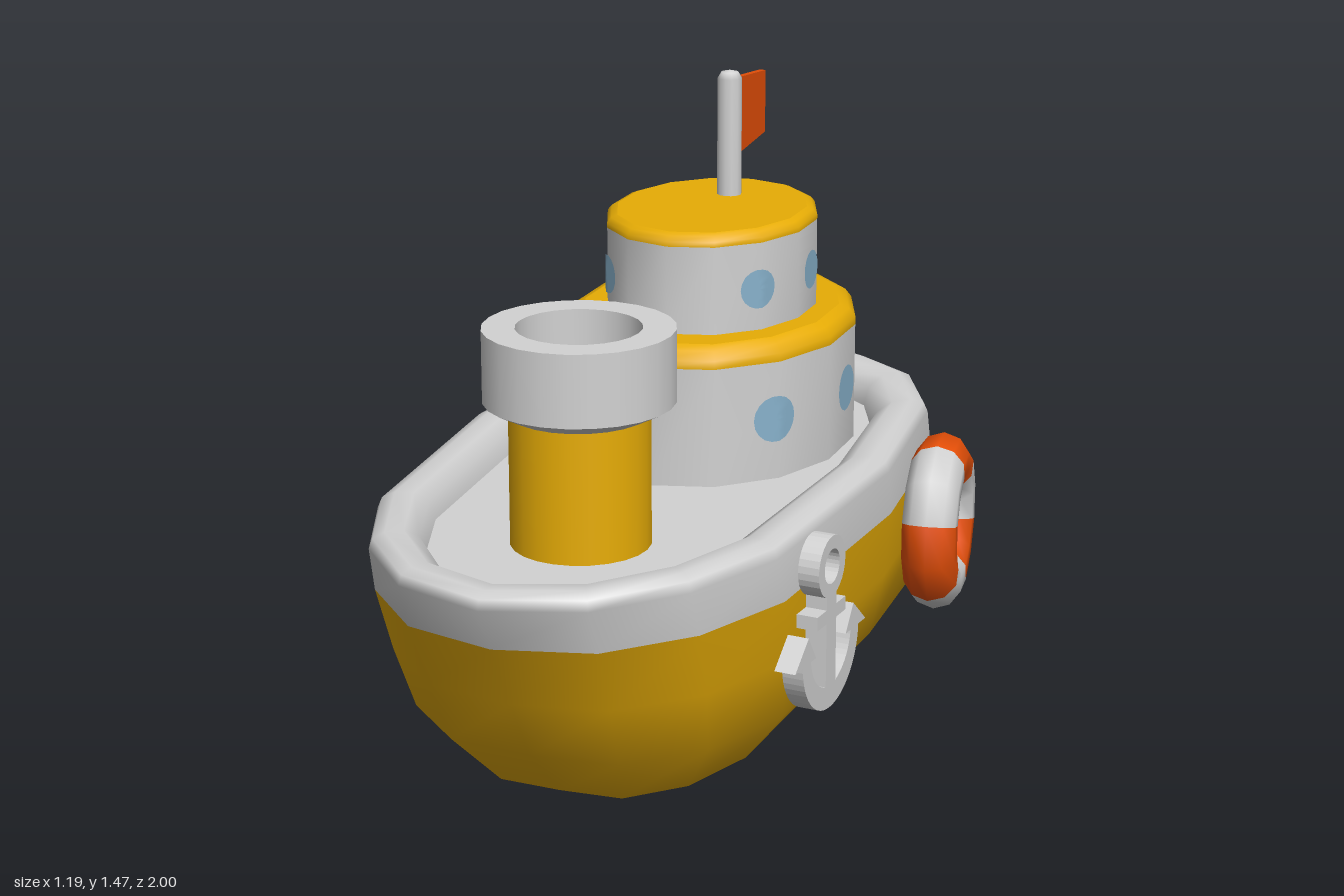
import * as THREE from 'three';

const mat = (name, color) => {
  const m = new THREE.MeshStandardMaterial({ color });
  m.name = name;
  return m;
};

// Lofts a closed unit outline through rings [y, halfWidth, zFront, zBack, fullness], bottom to top
function loft(outline, rings) {
  const n = outline.length, pos = [], idx = [];
  for (const [y, w, zf, zb, full = 0] of rings)
    for (const [u, v] of outline) {
      const k = 1 + full * Math.abs(u * v); // swells the corners of the outline
      pos.push(u * k * w, y, (zf + zb) / 2 + v * k * (zf - zb) / 2);
    }
  for (let j = 0; j < rings.length - 1; j++)
    for (let i = 0; i < n; i++) {
      const a = j * n + i, b = j * n + (i + 1) % n;
      idx.push(a, a + n, b, b, a + n, b + n);
    }
  const g = new THREE.BufferGeometry();
  g.setAttribute('position', new THREE.Float32BufferAttribute(pos, 3));
  g.setIndex(idx);
  g.computeVertexNormals();
  return g;
}

export function createModel() {
  const yellow = mat('yellow paint', 0xeeb206);
  const white = mat('off-white paint', 0xd2d2d2);
  const orange = mat('orange', 0xe85008);
  const blue = mat('window blue', 0x88b2cc);

  const model = new THREE.Group();
  const boat = new THREE.Group();
  boat.name = 'boat';
  boat.position.x = -0.063;
  model.add(boat);
  const add = (name, geo, material, parent = boat) => {
    const m = new THREE.Mesh(geo, material);
    m.name = name;
    parent.add(m);
    return m;
  };

  // Hull outline, stern to bow, mirrored to the other side
  const half = [[0, -1], [0.4, -0.965], [0.705, -0.85], [0.905, -0.635], [1, -0.155],
    [0.905, 0.49], [0.71, 0.745], [0.41, 0.925], [0, 1]];
  const hullLine = [...half, ...half.slice(1, -1).reverse().map(([u, v]) => [-u, v])];

  const waterline = [0.512, 0.525, 0.935, -0.98, 0.04];
  add('hull', loft(hullLine, [[0, 0, -0.09, -0.09], [0, 0.22, 0.39, -0.57, 0.18],
    [0, 0.28, 0.48, -0.66, 0.18], [0.04, 0.335, 0.58, -0.755, 0.18], [0.19, 0.461, 0.74, -0.9, 0.14],
    [0.35, 0.504, 0.84, -0.945, 0.08], waterline]), yellow);

  // Rounded bulwark and deck
  const deckEdge = [0.585, 0.4, 0.87, -0.86];
  add('bulwark', loft(hullLine, [waterline, [0.62, 0.527, 0.997, -1], [0.643, 0.517, 0.99, -0.992],
    [0.655, 0.488, 0.965, -0.965], [0.653, 0.445, 0.92, -0.912], [0.632, 0.412, 0.883, -0.873],
    deckEdge]), white);
  add('deck', loft(hullLine, [deckEdge, [0.585, 0, 0, 0]]), white);

  // Two-tier cabin with portholes
  const N = 14;
  const oval = Array.from({ length: N }, (_, i) => {
    const a = i / N * Math.PI * 2;
    return [Math.sin(a), -Math.cos(a)];
  });
  const cabinZ = -0.388;
  function tier(name, y0, y1, y2, a, b, inset, windowY, windowR) {
    const group = new THREE.Group();
    group.name = name;
    group.position.z = cabinZ;
    boat.add(group);
    const ring = (y, d = 0) => [y, a - d, b - d, d - b];
    add(name + 'Wall', loft(oval, [ring(y0), ring(y1)]), white, group);
    const h = y2 - y1;
    add(name + 'RoofEdge', loft(oval, [ring(y1), ring(y1 + h * 0.4), ring(y1 + h * 0.8, inset * 0.4),
      ring(y2, inset)]), yellow, group);
    add(name + 'Roof', loft(oval, [ring(y2, inset), [y2, 0, 0, 0]]), yellow, group);

    // Each porthole is a disc wrapped onto the faceted wall
    const corner = i => {
      const [u, v] = oval[((i % N) + N) % N];
      return new THREE.Vector2(u * a, v * b);
    };
    for (const side of [1, -1]) for (const t0 of [1.84, 3.41, 5.08]) {
      const g = new THREE.RingGeometry(0, windowR, 18, 5);
      const p = g.attributes.position;
      const k0 = Math.floor(side * t0);
      const facet = corner(k0).distanceTo(corner(k0 + 1));
      for (let i = 0; i < p.count; i++) {
        const t = side * t0 - p.getX(i) / facet, k = Math.floor(t);
        const q = corner(k).lerp(corner(k + 1), t - k);
        const out = new THREE.Vector2(q.x / (a * a), q.y / (b * b)).normalize();
        q.addScaledVector(out, 0.005);
        p.setXYZ(i, q.x, windowY + p.getY(i), q.y);
      }
      g.computeVertexNormals();
      add(name + 'Porthole', g, blue, group);
    }
  }
  tier('lowerCabin', 0.585, 0.87, 0.92, 0.343, 0.425, 0.04, 0.733, 0.056);
  tier('upperCabin', 0.92, 1.13, 1.16, 0.249, 0.305, 0.025, 1.02, 0.047);

  // Funnel with hollow collar
  const funnel = new THREE.Group();
  funnel.name = 'funnel';
  funnel.position.z = 0.443;
  boat.add(funnel);
  add('funnelStack', new THREE.CylinderGeometry(0.158, 0.158, 0.315, 24, 1, true), yellow, funnel)
    .position.y = 0.7425;
  const collar = [[0.156, 0.885], [0.214, 0.915], [0.214, 1.08], [0.14, 1.08], [0.14, 0.98], [0, 0.98]];
  for (let i = 0; i < collar.length - 1; i++) // separate bands keep the edges sharp
    add('funnelCollar', new THREE.LatheGeometry([collar[i], collar[i + 1]]
      .map(c => new THREE.Vector2(...c)), 24), white, funnel);

  // Flagpole and flag
  const pole = [[0.03, 1.15], [0.03, 1.445], [0.021, 1.46], [0, 1.465]];
  add('flagpole', new THREE.LatheGeometry(pole.map(c => new THREE.Vector2(...c)), 12), white)
    .position.z = -0.506;
  const flagShape = new THREE.Shape([[0.51, 1.247], [0.742, 1.265], [0.742, 1.42], [0.51, 1.443]]
    .map(c => new THREE.Vector2(...c)));
  const flag = new THREE.ExtrudeGeometry(flagShape, { depth: 0.016, bevelEnabled: false });
  flag.translate(0, 0, -0.008).rotateY(Math.PI / 2);
  add('flag', flag, orange);

  // Lifebuoy in six alternating bands
  const buoy = new THREE.Group();
  buoy.name = 'lifebuoy';
  buoy.position.set(0.513, 0.42, -0.415);
  buoy.rotation.y = Math.PI / 2 + 0.13;
  model.add(buoy);
  for (let i = 0; i < 6; i++)
    add('lifebuoyBand', new THREE.TorusGeometry(0.147, 0.067, 10, 2, Math.PI / 3), i % 2 ? white : orange, buoy)
      .rotation.z = Math.PI / 4 + i * Math.PI / 3;

  // Anchor: ring, stem, crossbar, curved arms and flukes
  const poly = pts => new THREE.Shape(pts.map(c => new THREE.Vector2(...c)));
  const rect = (x, y0, y1) => poly([[-x, y0], [x, y0], [x, y1], [-x, y1]]);
  const ring = new THREE.Shape().absarc(0, 0.567, 0.071, 0, Math.PI * 2);
  ring.holes.push(new THREE.Path().absarc(0, 0.567, 0.04, 0, Math.PI * 2, true));
  const arms = new THREE.Shape();
  arms.absarc(0, 0.385, 0.15, Math.PI, Math.PI * 2, false);
  arms.absarc(0, 0.395, 0.108, Math.PI * 2, Math.PI, true);
  const shapes = [ring, rect(0.026, 0.26, 0.505), rect(0.075, 0.44, 0.472), arms];
  for (const s of [1, -1])
    shapes.push(poly([[s * 0.12, 0.44], [s * 0.189, 0.38], [s * 0.08, 0.38]]));
  const anchorGeo = new THREE.ExtrudeGeometry(shapes, { depth: 0.05, bevelEnabled: false, curveSegments: 14 });
  anchorGeo.translate(0, 0, -0.025);
  const anchor = add('anchor', anchorGeo, white, model);
  anchor.position.set(0.468, 0, 0.347);
  anchor.rotation.y = Math.PI / 2 - 0.1;

  return model;
}
